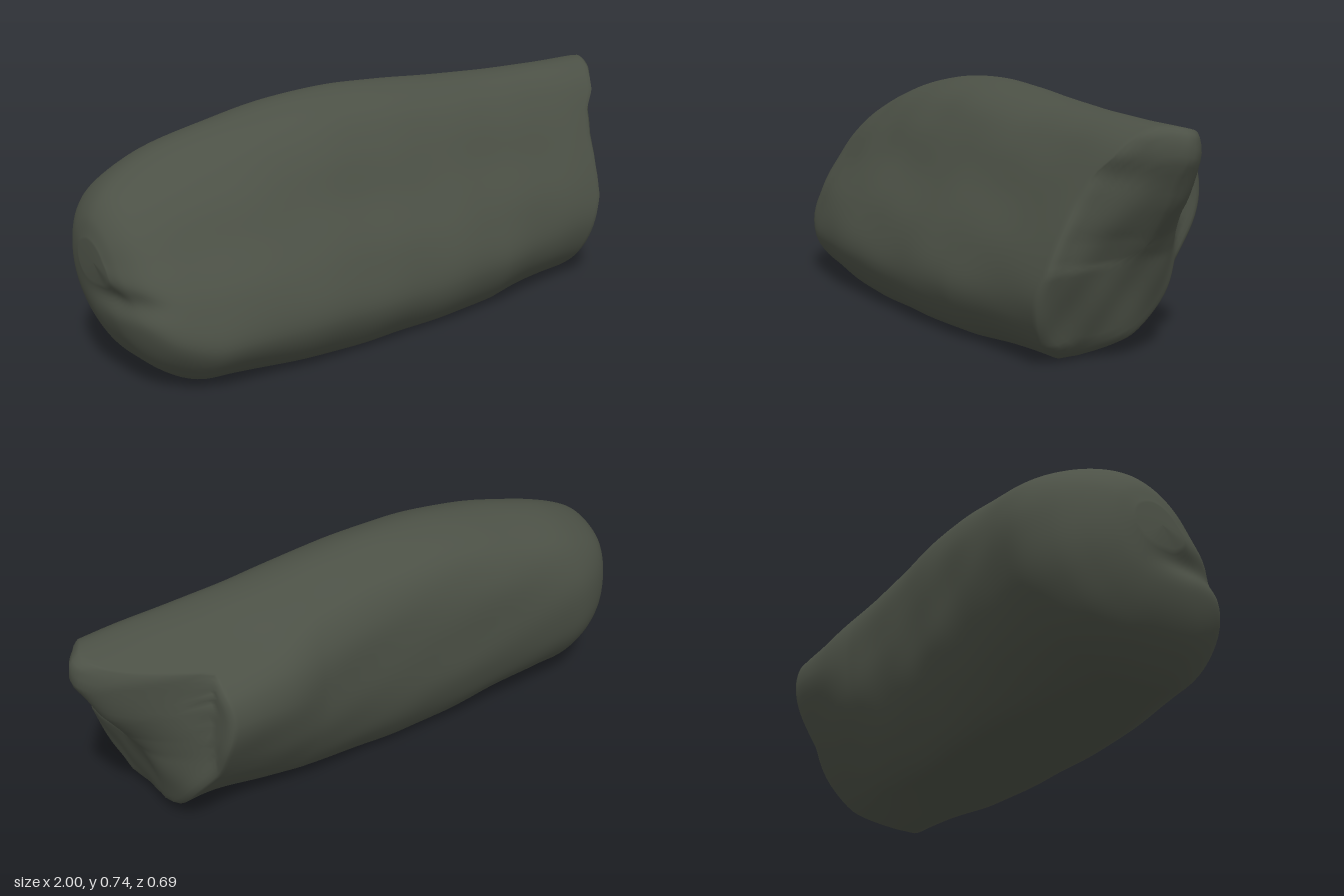
import * as THREE from 'three';

// Cross-section outlines as [z, y], starting under the front and running up, over and down the back
const ROUNDED = [[0.2, 0.012], [0.29, 0.075], [0.34, 0.17], [0.305, 0.32], [0.22, 0.47], [0.145, 0.59], [0.06, 0.675], [-0.02, 0.72],
  [-0.1, 0.735], [-0.195, 0.705], [-0.285, 0.63], [-0.332, 0.52], [-0.34, 0.37], [-0.3, 0.22], [-0.21, 0.09], [-0.08, 0.012], [0.07, 0]];
const BODY = [[0.24, 0], [0.315, 0.07], [0.345, 0.16], [0.305, 0.30], [0.21, 0.46], [0.14, 0.59], [0.075, 0.67], [0, 0.715],
  [-0.09, 0.735], [-0.19, 0.715], [-0.282, 0.66], [-0.332, 0.56], [-0.342, 0.39], [-0.328, 0.24], [-0.272, 0.11], [-0.16, 0], [0.04, 0]];
const BROKEN = [[0.15, 0], [0.245, 0.07], [0.287, 0.18], [0.265, 0.31], [0.2, 0.46], [0.14, 0.58], [0.085, 0.65], [0.02, 0.685],
  [-0.07, 0.675], [-0.16, 0.635], [-0.265, 0.575], [-0.315, 0.52], [-0.328, 0.44], [-0.275, 0.3], [-0.185, 0.17], [-0.07, 0.055], [0.05, 0.008]];

// Outer limits along the length: x, yMin, yMax, zMin, zMax
const STATIONS = [
  [-1, 0.31, 0.43, -0.11, 0.05], [-0.98, 0.2, 0.49, -0.18, 0.13], [-0.94, 0.115, 0.54, -0.245, 0.205],
  [-0.88, 0.05, 0.58, -0.302, 0.255], [-0.79, 0.003, 0.62, -0.336, 0.29], [-0.68, 0, 0.655, -0.342, 0.312],
  [-0.5, 0, 0.695, -0.328, 0.336], [-0.3, 0, 0.725, -0.312, 0.342], [-0.1, 0, 0.735, -0.297, 0.338],
  [0.1, 0, 0.727, -0.29, 0.338], [0.3, 0, 0.712, -0.303, 0.328], [0.55, 0, 0.698, -0.325, 0.308],
  [0.8, 0, 0.69, -0.33, 0.292], [1, 0, 0.685, -0.33, 0.285]];

// Broken end: [y, x] along its ridge, and [y, how far the front rim lies behind the ridge]
const RIDGE = [[0, 0.665], [0.05, 0.712], [0.18, 0.76], [0.3, 0.805], [0.37, 0.85], [0.47, 0.93], [0.6, 1], [0.66, 0.995], [0.7, 0.97]];
const SETBACK = [[0.28, 0], [0.4, 0.07], [0.47, 0.12], [0.55, 0.135], [0.63, 0.09], [0.7, 0.045]];

const AROUND = 112, ALONG = 110;
const { smoothstep: smooth, lerp, clamp } = THREE.MathUtils;

function table(rows, v) {
  for (let i = 1; i < rows.length; i++) {
    const [a, b] = [rows[i - 1], rows[i]];
    if (v <= b[0]) return lerp(a[1], b[1], Math.max(0, (v - a[0]) / (b[0] - a[0])));
  }
  return rows[rows.length - 1][1];
}

// Resample an outline smoothly and scale it to 0..1 in both directions
function unitOutline(points) {
  const curve = new THREE.CatmullRomCurve3(points.map(([z, y]) => new THREE.Vector3(0, y, z)), true, 'centripetal');
  const out = Array.from({ length: AROUND }, (_, j) => curve.getPoint(j / AROUND));
  out.forEach(p => { p.y = Math.max(0, p.y); });
  const box = new THREE.Box3().setFromPoints(out), size = box.getSize(new THREE.Vector3());
  return out.map(p => [(p.z - box.min.z) / size.z, (p.y - box.min.y) / size.y]);
}

// x of the broken face: a slanted ridge, easing back to the front rim and dropping away behind
function breakX(y, z) {
  const rimZ = 0.2 - 0.67 * (y - 0.47);
  const front = table(RIDGE, y) - table(SETBACK, y) * clamp((z + 0.03) / (rimZ + 0.03), 0, 1);
  const back = Math.min(front, 0.675);
  const drop = Math.sin(Math.PI / 2 * clamp((z + 0.235) / 0.185, 0, 1));
  const ripple = 0.004 * Math.sin(23 * y + 9 * z) * Math.sin(31 * z + 2);
  return lerp(back, front, drop) + ripple;
}

function stoneGeometry() {
  const [rounded, body, broken] = [ROUNDED, BODY, BROKEN].map(unitOutline);
  const spine = k => new THREE.CatmullRomCurve3(
    STATIONS.map(s => new THREE.Vector3(s[0], s[k], s[k + 1])), false, 'catmullrom', 0.5);
  const heights = spine(1), depths = spine(3);
  const pos = [], index = [];
  let rim = [];

  // Rounded end: a single pole
  for (let j = 0; j < AROUND; j++) pos.push(-1, 0.37, -0.025);

  // Length of the stone, its rings leaning progressively into the break
  for (let i = 0; i <= ALONG; i++) {
    const h = heights.getPoint(i / ALONG), d = depths.getPoint(i / ALONG), X = h.x;
    const toBody = smooth(X, -0.85, -0.2), toBreak = smooth(X, -0.1, 0.95);
    rim = [];
    for (let j = 0; j < AROUND; j++) {
      const [u, v] = [0, 1].map(k => lerp(lerp(rounded[j][k], body[j][k], toBody), broken[j][k], toBreak));
      let z = lerp(d.y, d.z, u);
      const y = Math.max(0, lerp(h.y, h.z, v));
      let x = X;
      if (X > 0.3) x = 0.3 + (X - 0.3) / 0.7 * (breakX(y, z) - 0.015 - 0.3);
      // Gentle weathering and a dent in the rounded end
      z += 0.002 * Math.sin(17 * x + 11 * y) * Math.sin(19 * y - 7 * x + 1);
      x += 0.022 * Math.exp(-(((y - 0.28) / 0.035) ** 2)) * smooth(z, -0.1, 0.08) * (1 - smooth(x, -0.99, -0.85));
      pos.push(x, y, z);
      rim.push([y, z]);
    }
  }

  // Broken face, closing inwards from a softened rim
  const insets = [0.985, 0.96, 0.92, 0.86, 0.78, 0.7, 0.62, 0.54, 0.46, 0.38, 0.3, 0.22, 0.14, 0.07, 0];
  for (const s of insets) {
    const soften = 0.015 * Math.max(0, (s - 0.92) / 0.08) ** 2;
    for (const [ry, rz] of rim) {
      const y = lerp(0.34, ry, s), z = lerp(-0.02, rz, s);
      pos.push(Math.min(1, breakX(y, z) - soften), y, z);
    }
  }

  const rings = pos.length / 3 / AROUND;
  for (let i = 0; i < rings - 1; i++) {
    for (let j = 0; j < AROUND; j++) {
      const k = (j + 1) % AROUND;
      const a = i * AROUND + j, b = a + AROUND, c = i * AROUND + k, e = c + AROUND;
      if (i > 0) index.push(a, b, c);
      else index.push(a, b, e);
      if (i > 0 && i < rings - 2) index.push(b, e, c);
    }
  }
  const geometry = new THREE.BufferGeometry();
  geometry.setAttribute('position', new THREE.Float32BufferAttribute(pos, 3));
  geometry.setIndex(index);
  geometry.computeVertexNormals();
  return geometry;
}

export function createModel() {
  const group = new THREE.Group();
  group.name = 'brokenStone';
  const stone = new THREE.MeshStandardMaterial({ color: 0x4c5146 });
  stone.name = 'darkGreenGreyStone';
  const mesh = new THREE.Mesh(stoneGeometry(), stone);
  mesh.name = 'stoneBody';
  group.add(mesh);
  return group;
}
